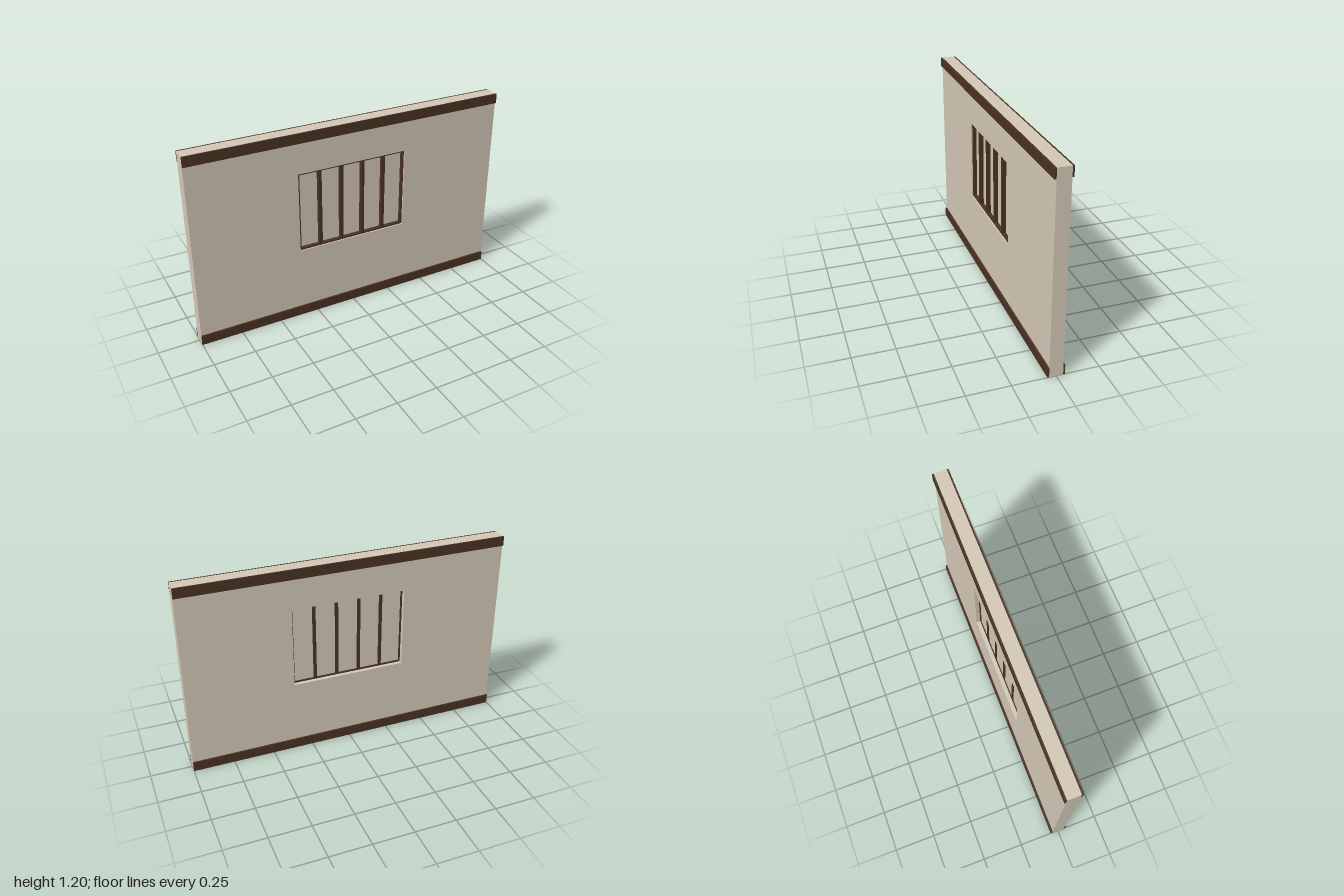
import * as THREE from 'three';

const plaster = new THREE.MeshStandardMaterial({ color: 0xd4c9b7 });
const timber = new THREE.MeshStandardMaterial({ color: 0x4a3222 });

const W = 2, H = 1.2, T = 0.08;                        // wall
const OX = 0.35, OY0 = 0.45, OY1 = 0.95;               // window opening
const BAR = 0.02, BAR_Z0 = -0.016, BAR_Z1 = 0.032;     // lattice bars

function box(name, material, x0, x1, y0, y1, z0, z1) {
  const mesh = new THREE.Mesh(new THREE.BoxGeometry(x1 - x0, y1 - y0, z1 - z0), material);
  mesh.position.set((x0 + x1) / 2, (y0 + y1) / 2, (z0 + z1) / 2);
  mesh.name = name;
  return mesh;
}

function rectangle(PathType, x0, x1, y0, y1) {
  return new PathType([[x0, y0], [x1, y0], [x1, y1], [x0, y1]].map(p => new THREE.Vector2(...p)));
}

export function createModel() {
  const model = new THREE.Group();
  model.name = 'windowWall';

  // Plaster wall with a rectangular opening
  const outline = rectangle(THREE.Shape, -W / 2, W / 2, 0, H);
  outline.holes.push(rectangle(THREE.Path, -OX, OX, OY0, OY1));
  const wallGeometry = new THREE.ExtrudeGeometry(outline, { depth: T, bevelEnabled: false });
  wallGeometry.translate(0, 0, -T / 2);
  const wall = new THREE.Mesh(wallGeometry, plaster);
  wall.name = 'wall';
  model.add(wall);

  // Timber rails along top and bottom of both faces
  for (const [side, z] of [['front', T / 2 + 0.005], ['back', -T / 2 - 0.005]]) {
    model.add(box(side + 'BottomRail', timber, -W / 2, W / 2, 0, 0.06, z - 0.005, z + 0.005));
    model.add(box(side + 'TopRail', timber, -W / 2, W / 2, H - 0.06, H, z - 0.005, z + 0.005));
  }

  // Window: pale pane held in a lattice, outer bars half sunk into the wall
  const win = new THREE.Group();
  win.name = 'window';
  win.add(box('pane', plaster, -OX, OX, OY0, OY1, -0.01, 0.008));
  for (let i = 0; i <= 5; i++) {
    const x = -OX + i * 2 * OX / 5;
    win.add(box('uprightBar', timber, x - BAR / 2, x + BAR / 2, OY0, OY1, BAR_Z0, BAR_Z1));
  }
  for (const y of [OY0, OY1]) {
    win.add(box('crossBar', timber, -OX, OX, y - BAR / 2, y + BAR / 2, BAR_Z0, BAR_Z1));
  }
  model.add(win);

  return model;
}
